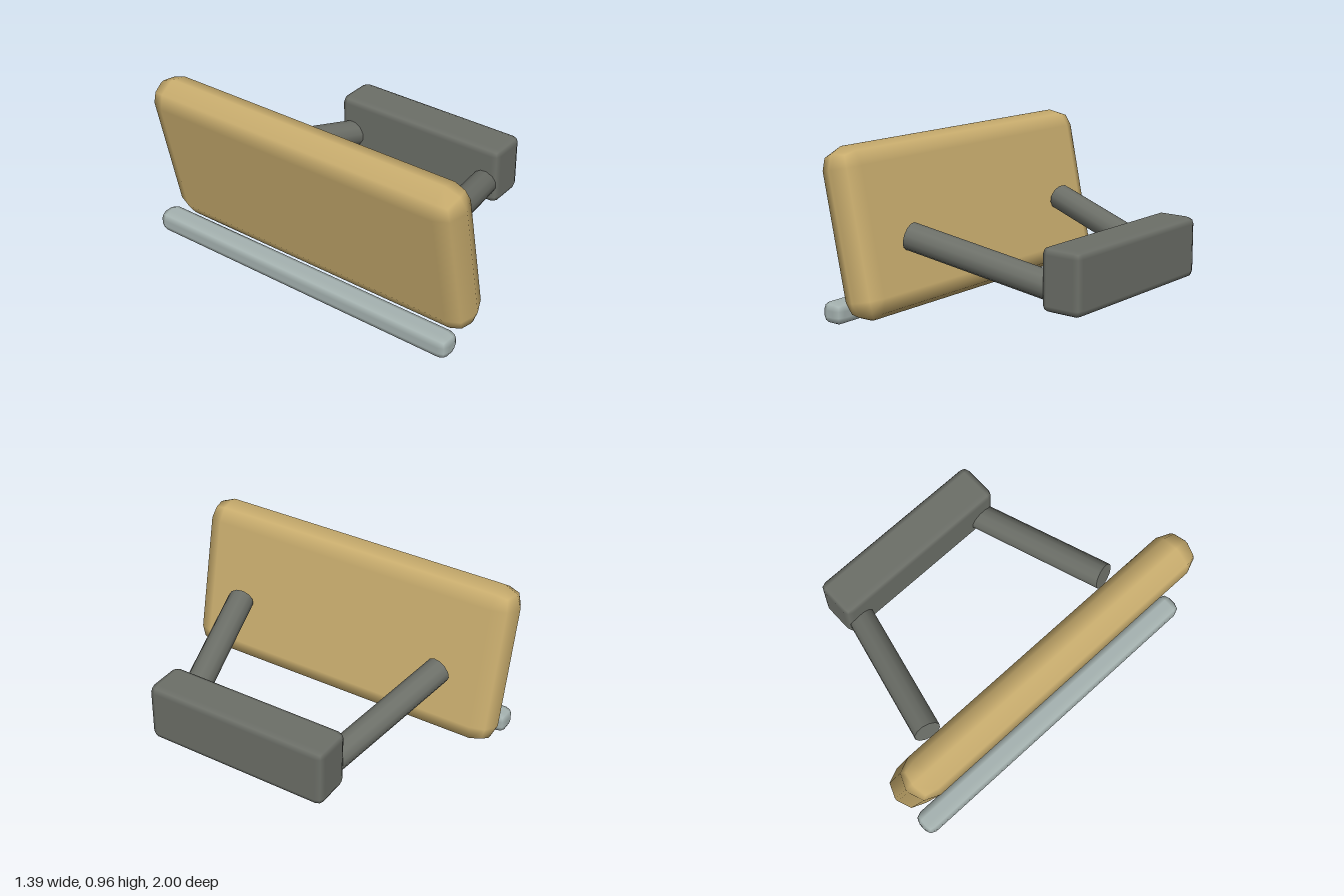
import * as THREE from 'three';
import { RoundedBoxGeometry } from 'three/addons/geometries/RoundedBoxGeometry.js';

const material = (name, color) => {
  const m = new THREE.MeshStandardMaterial({ color });
  m.name = name;
  return m;
};

export function createModel() {
  const model = new THREE.Group();
  model.name = 'paddedBoardOnFrame';
  const tan = material('tan', 0xc9ad6e);
  const darkGrey = material('darkGrey', 0x6c6f68);
  const paleGrey = material('paleGrey', 0xa6b3b1);

  const add = (name, geometry, mat, x, y, z) => {
    const mesh = new THREE.Mesh(geometry, mat);
    mesh.name = name;
    mesh.position.set(x, y, z);
    model.add(mesh);
    return mesh;
  };

  // Soft-edged board, leaning back
  const board = add('board', new RoundedBoxGeometry(0.25, 0.936, 2, 1, 0.115), tan, -0.505, 0.505, 0);
  board.rotation.z = 0.204;

  // Slim rail along the foot of the board
  add('rail', new RoundedBoxGeometry(0.136, 0.125, 1.97, 1, 0.045), paleGrey, -0.63, 0.0635, 0);

  // Heavy block joining the two arms
  add('block', new RoundedBoxGeometry(0.245, 0.345, 1.1, 1, 0.04), darkGrey, 0.572, 0.342, 0);

  // Arms spreading from the block towards the board
  for (const side of [1, -1]) {
    const outer = new THREE.Vector3(-0.334, 0.477, 0.663 * side);
    const inner = new THREE.Vector3(0.56, 0.265, 0.438 * side);
    const along = outer.clone().sub(inner);
    const centre = outer.clone().add(inner).multiplyScalar(0.5);
    const arm = add(side > 0 ? 'frontArm' : 'backArm',
      new THREE.CylinderGeometry(0.077, 0.077, along.length(), 12), darkGrey,
      centre.x, centre.y, centre.z);
    arm.quaternion.setFromUnitVectors(new THREE.Vector3(0, 1, 0), along.normalize());
  }
  return model;
}
